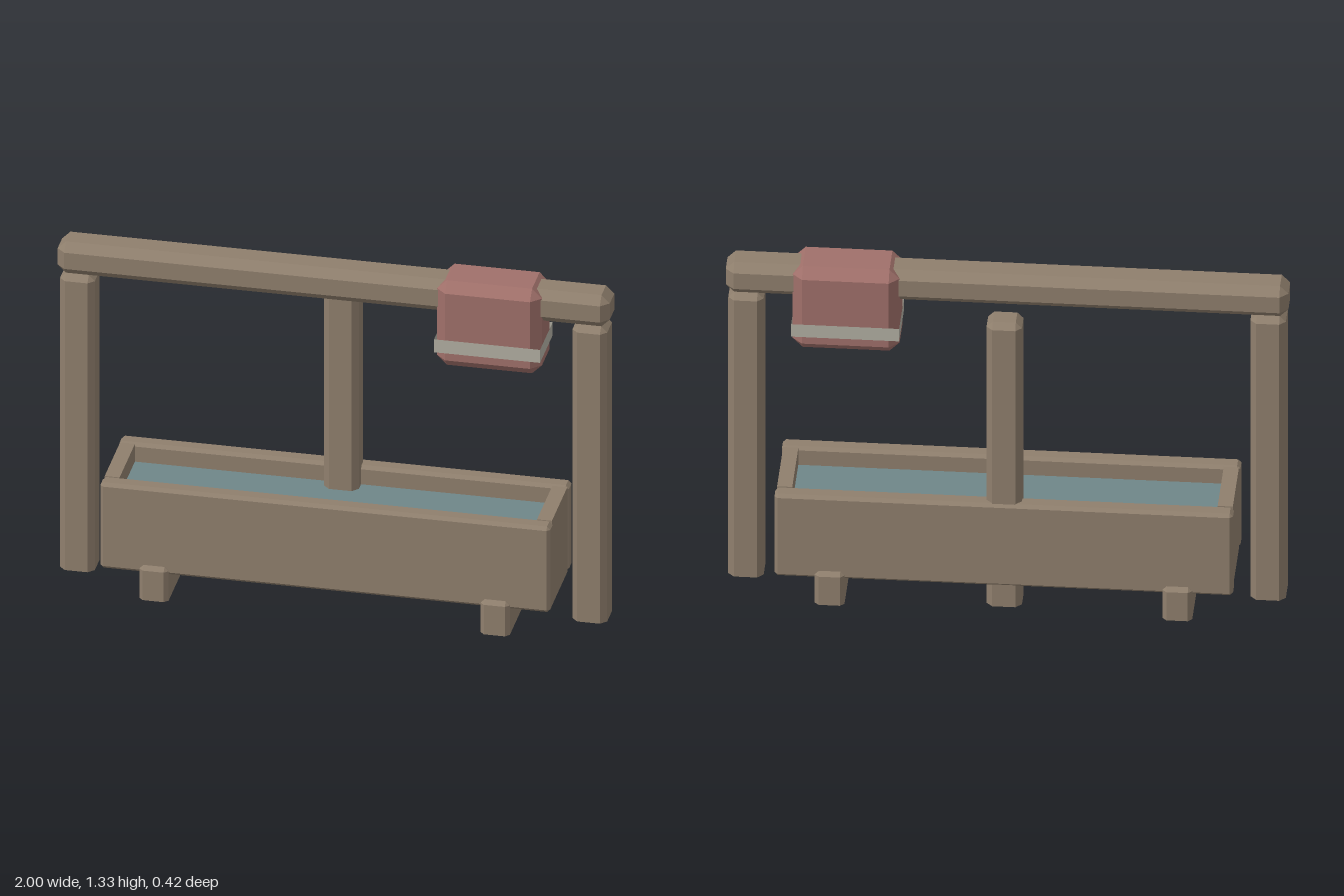
import * as THREE from 'three';

const mat = (name, color, side = THREE.FrontSide) => {
  const m = new THREE.MeshStandardMaterial({ color, side });
  m.name = name;
  return m;
};

// Box with chamfered edges, given as [min, max] per axis; the underside may be left open.
function chamferBox([x0, x1], [y0, y1], [z0, z1], b, open = false) {
  // eight-point ring; c is the corner cut, i the inset of the whole ring
  const ring = (y, i, c) => {
    const l = x0 + i, r = x1 - i, k = z0 + i, f = z1 - i;
    return [[r, f - c], [r, k + c], [r - c, k], [l + c, k], [l, k + c], [l, f - c], [l + c, f], [r - c, f]]
      .map(([x, z]) => new THREE.Vector3(x, y, z));
  };
  const rings = [ring(y1 - b, 0, b), ring(y1, b, 0)];
  if (open) rings.unshift(ring(y0, 0, b));
  else rings.unshift(ring(y0, b, 0), ring(y0 + b, 0, b));
  const pos = [];
  const tri = (p, q, r) => {
    if (p.distanceTo(q) < 1e-6 || q.distanceTo(r) < 1e-6 || p.distanceTo(r) < 1e-6) return;
    for (const v of [p, q, r]) pos.push(v.x, v.y, v.z);
  };
  for (let s = 0; s < rings.length - 1; s++) {
    const lo = rings[s], hi = rings[s + 1];
    for (let i = 0; i < 8; i++) {
      const j = (i + 1) % 8;
      tri(lo[i], lo[j], hi[j]);
      tri(lo[i], hi[j], hi[i]);
    }
  }
  const top = rings[rings.length - 1], bottom = rings[0];
  for (let i = 1; i < 7; i++) {
    tri(top[0], top[i], top[i + 1]);
    if (!open) tri(bottom[0], bottom[i + 1], bottom[i]);
  }
  const g = new THREE.BufferGeometry();
  g.setAttribute('position', new THREE.Float32BufferAttribute(pos, 3));
  g.computeVertexNormals();
  return g;
}

function plainBox([x0, x1], [y0, y1], [z0, z1]) {
  return new THREE.BoxGeometry(x1 - x0, y1 - y0, z1 - z0)
    .translate((x0 + x1) / 2, (y0 + y1) / 2, (z0 + z1) / 2);
}

export function createModel() {
  const group = new THREE.Group();
  const wood = mat('wood', 0x8f7f6d, THREE.DoubleSide);
  const cloth = mat('red cloth', 0xa0706a);
  const strapMat = mat('pale strap', 0xb2afa2, THREE.DoubleSide);
  const waterMat = mat('water', 0x6f8688, THREE.DoubleSide);
  const add = (name, geometry, material) => {
    const m = new THREE.Mesh(geometry, material);
    m.name = name;
    group.add(m);
    return m;
  };

  // Hitching frame: rail, two end posts and a middle post behind
  add('rail', chamferBox([-1, 1], [1.19, 1.315], [-0.068, 0.068], 0.03), wood);
  for (const s of [-1, 1]) {
    const cx = 0.928 * s;
    add(s > 0 ? 'leftPost' : 'rightPost',
      chamferBox([cx - 0.063, cx + 0.063], [0.01, 1.19], [-0.062, 0.062], 0.022, true), wood);
  }
  add('middlePost', chamferBox([-0.063, 0.063], [0.01, 1.19], [-0.182, -0.07], 0.022, true), wood);

  // Trough: long side boards, end boards, floor and water
  for (const s of [-1, 1]) {
    const cz = 0.16 * s;
    add(s > 0 ? 'frontBoard' : 'backBoard',
      chamferBox([-0.815, 0.815], [0.1, 0.442], [cz - 0.032, cz + 0.032], 0.012), wood);
    const cx = 0.783 * s;
    add(s > 0 ? 'leftEndBoard' : 'rightEndBoard',
      plainBox([cx - 0.027, cx + 0.027], [0.1, 0.44], [-0.13, 0.13]), wood);
    // Feet under the trough
    const fx = 0.618 * s;
    add(s > 0 ? 'leftFoot' : 'rightFoot',
      chamferBox([fx - 0.053, fx + 0.053], [0, 0.133], [-0.208, 0.208], 0.015, true), wood);
  }
  add('floor', plainBox([-0.76, 0.76], [0.105, 0.135], [-0.132, 0.132]), wood);
  const water = add('water', new THREE.PlaneGeometry(1.52, 0.26).rotateX(-Math.PI / 2), waterMat);
  water.position.y = 0.37;

  // Bundle over the rail, with an open band around it
  add('bundle', chamferBox([0.38, 0.76], [0.988, 1.327], [-0.1, 0.1], 0.036), cloth);
  const strap = new THREE.Group();
  strap.name = 'strap';
  strap.position.set(0.57, 1.082, 0);
  for (let i = 0; i < 4; i++) {
    const long = i % 2 === 0;
    const side = new THREE.Mesh(new THREE.PlaneGeometry(long ? 0.384 : 0.214, 0.052), strapMat);
    side.name = 'strapSide';
    const a = i * Math.PI / 2, d = long ? 0.107 : 0.192;
    side.rotation.y = a;
    side.position.set(Math.sin(a) * d, 0, Math.cos(a) * d);
    strap.add(side);
  }
  group.add(strap);
  return group;
}
